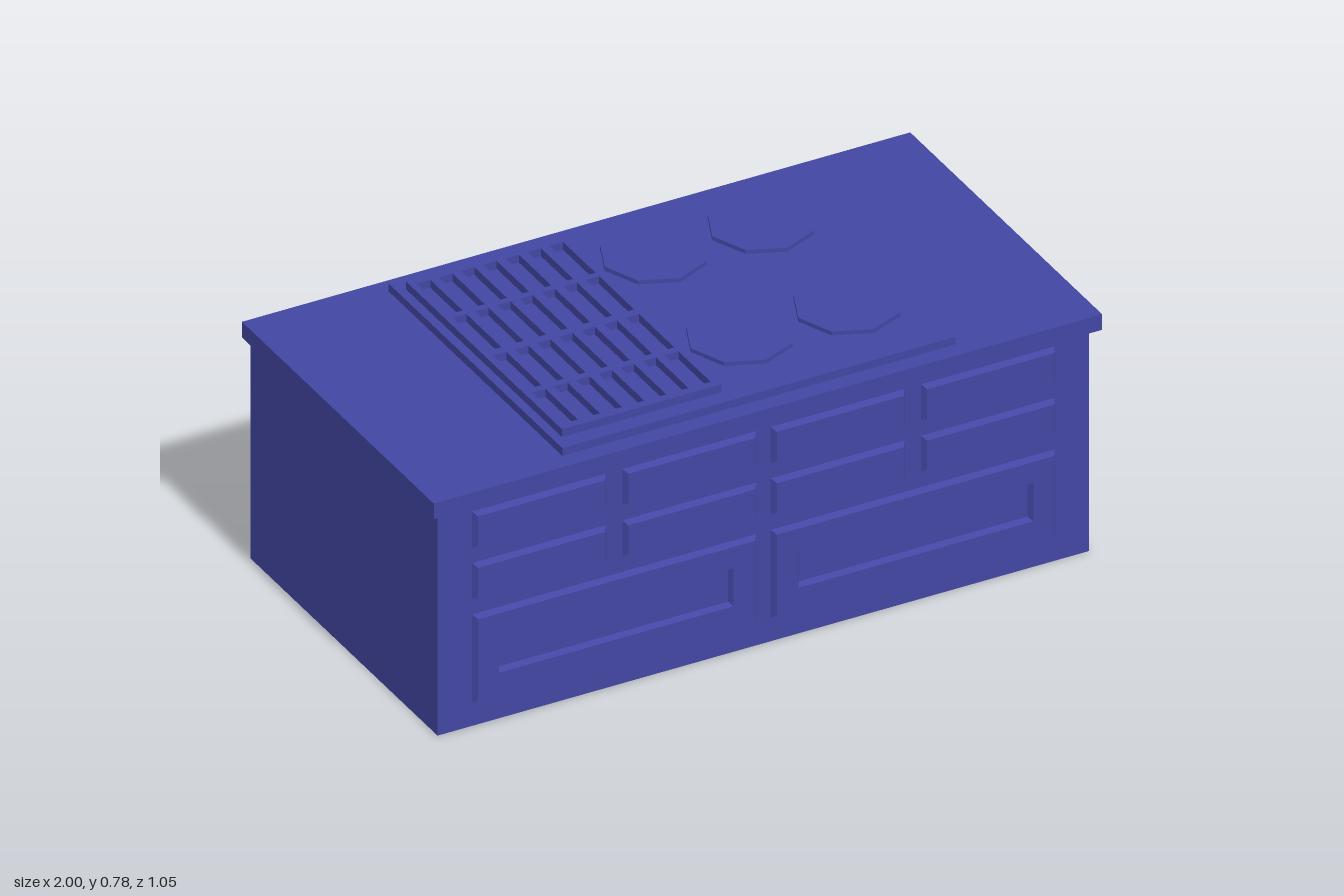
import * as THREE from 'three';

const material = new THREE.MeshStandardMaterial({ color: 0x4246a2, flatShading: true, side: THREE.DoubleSide });

function add(parent, name, geometry, x = 0, y = 0, z = 0) {
  const mesh = new THREE.Mesh(geometry, material);
  mesh.name = name;
  mesh.position.set(x, y, z);
  parent.add(mesh);
  return mesh;
}

// Rectangles are [x0, y0, x1, y1]
const corners = ([x0, y0, x1, y1]) => [[x0, y0], [x1, y0], [x1, y1], [x0, y1]];
const inset = ([x0, y0, x1, y1], d) => [x0 + d, y0 + d, x1 - d, y1 - d];
const path = (rect) => corners(rect).map(([x, y]) => new THREE.Vector2(x, y));

function sheet(rect, holes = []) {
  const shape = new THREE.Shape(path(rect));
  for (const hole of holes) shape.holes.push(new THREE.Path(path(hole).reverse()));
  return shape;
}

// Sloped border joining an outer rectangle at z0 to an inner one at z1
function bevel(outer, z0, inner, z1) {
  const a = corners(outer), b = corners(inner), points = [];
  for (let i = 0; i < 4; i++) {
    const j = (i + 1) % 4;
    const p = [...a[i], z0], q = [...a[j], z0], r = [...b[j], z1], s = [...b[i], z1];
    points.push(...p, ...q, ...r, ...p, ...r, ...s);
  }
  const geometry = new THREE.BufferGeometry();
  geometry.setAttribute('position', new THREE.Float32BufferAttribute(points, 3));
  geometry.computeVertexNormals();
  return geometry;
}

const FRONT = 0.5, RAISED = 0.515, BACK = -0.525;

// Raised hollow panel, optionally with a sunken field
function panel(parent, name, rect, field) {
  const group = new THREE.Group();
  group.name = name;
  const face = inset(rect, 0.01);
  add(group, 'panelBevel', bevel(rect, FRONT, face, RAISED));
  add(group, 'panelFace', new THREE.ShapeGeometry(sheet(face, field ? [field] : [])), 0, 0, RAISED);
  if (field) {
    const floor = inset(field, 0.009);
    add(group, 'fieldBevel', bevel(field, RAISED, floor, FRONT));
    add(group, 'fieldFloor', new THREE.ShapeGeometry(sheet(floor)), 0, 0, FRONT);
  }
  parent.add(group);
}

export function createModel() {
  const model = new THREE.Group();
  model.name = 'kitchenIsland';

  // Drawers and doors, mirrored about the middle
  const openings = [];
  for (const side of [-1, 1]) {
    const span = (a, y0, b, y1) => (side > 0 ? [a, y0, b, y1] : [-b, y0, -a, y1]);
    for (const [y0, y1] of [[0.39, 0.5], [0.548, 0.658]]) {
      for (const x of [0.022, 0.472]) {
        const rect = span(x, y0, x + 0.4, y1);
        openings.push(rect);
        panel(model, 'drawer', rect);
      }
    }
    const door = span(0.022, 0.073, 0.872, 0.342);
    openings.push(door);
    panel(model, 'door', door, span(0.097, 0.15, 0.8, 0.268));

    // Thin side wall
    const wall = new THREE.PlaneGeometry(FRONT - BACK, 0.685).rotateY(side * Math.PI / 2);
    add(model, 'sideWall', wall, side * 0.975, 0.3425, (FRONT + BACK) / 2);
  }
  add(model, 'frontWall', new THREE.ShapeGeometry(sheet([-0.975, 0, 0.975, 0.685], openings)), 0, 0, FRONT);

  // Worktop and hob plate
  add(model, 'worktop', new THREE.BoxGeometry(2, 0.048, 1.05), 0, 0.709, 0);
  add(model, 'hobPlate', new THREE.BoxGeometry(1.176, 0.024, 0.95), 0, 0.745, 0);

  // Grille with seven columns and four rows of slots
  const slots = [];
  for (let i = 0; i < 7; i++) {
    const x = -0.542 + i * 0.0663;
    for (const [z0, z1] of [[-0.405, -0.228], [-0.208, -0.016], [0.011, 0.203], [0.225, 0.402]]) {
      slots.push([x, -z1, x + 0.04, -z0]);
    }
  }
  const grille = new THREE.ExtrudeGeometry(sheet([-0.562, -0.426, -0.084, 0.427], slots),
    { depth: 0.024, bevelEnabled: false });
  add(model, 'grille', grille.rotateX(-Math.PI / 2), 0, 0.757, 0);

  // Four octagonal burners
  for (const x of [0.087, 0.409]) {
    for (const z of [-0.261, 0.21]) {
      add(model, 'burner', new THREE.CylinderGeometry(0.146, 0.146, 0.012, 8), x, 0.763, z);
    }
  }
  return model;
}
